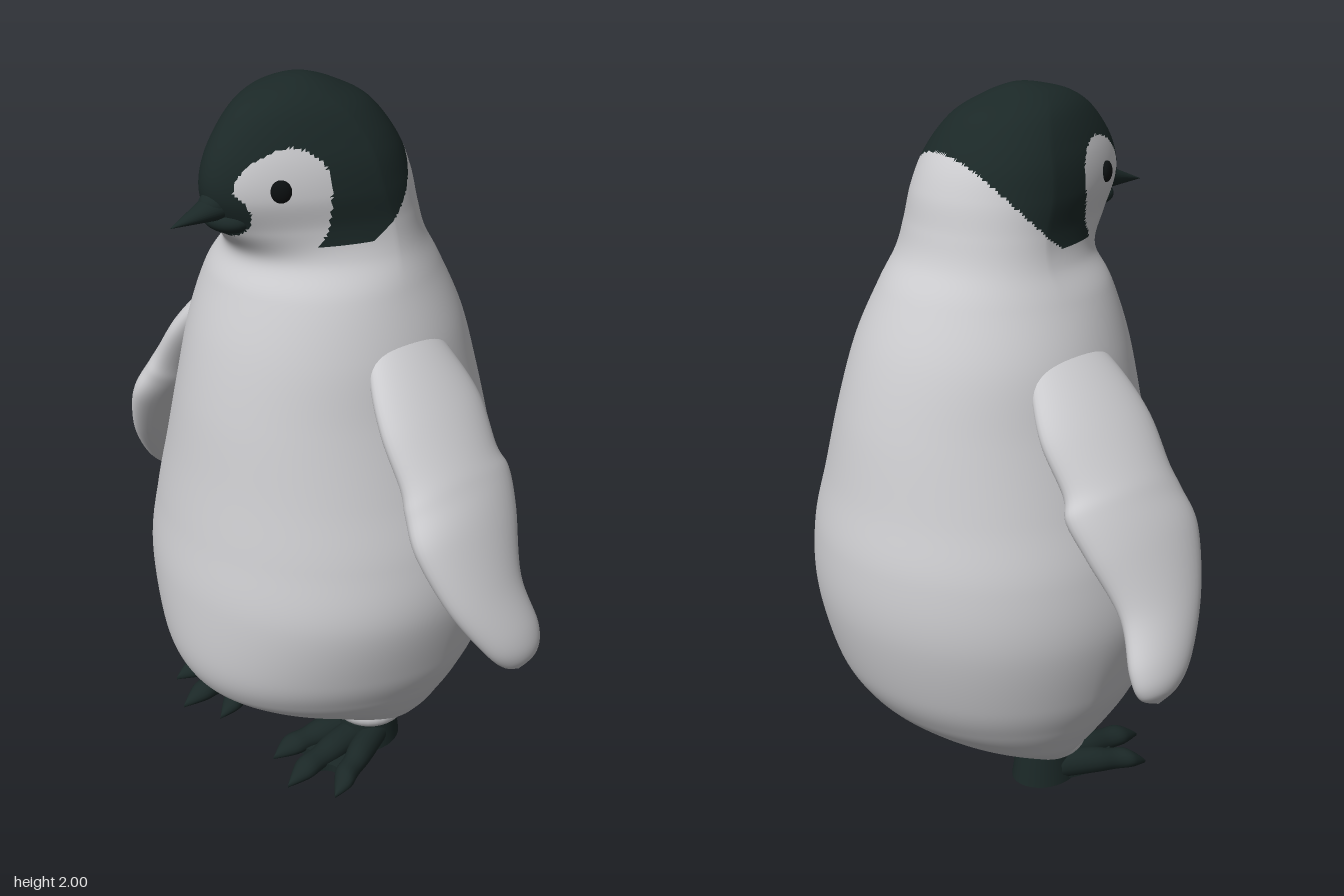
import * as THREE from 'three';

const plumage = new THREE.MeshStandardMaterial({ color: 0xcdcdd0 });
const dark = new THREE.MeshStandardMaterial({ color: 0x1b2827 });
const eyeBlack = new THREE.MeshStandardMaterial({ color: 0x0b0f10 });
plumage.name = 'pale down';
dark.name = 'dark slate';
eyeBlack.name = 'eye black';

// Smoothly interpolates every column of a table of cross-section rows
function sampleRows(rows, t) {
  const f = t * (rows.length - 1);
  const i = Math.min(Math.floor(f), rows.length - 2);
  const k = f - i;
  const at = (j) => rows[Math.max(0, Math.min(rows.length - 1, j))];
  return rows[0].map((_, c) => {
    const [a, b, d, e] = [at(i - 1)[c], at(i)[c], at(i + 1)[c], at(i + 2)[c]];
    return b + 0.5 * k * (d - a + k * (2 * a - 5 * b + 4 * d - e + k * (3 * (b - d) + e - a)));
  });
}

// Skins closed rings; point(row, angle) gives [x, y, z]
function loft(rows, point, around, along) {
  const pos = [], idx = [];
  for (let v = 0; v <= along; v++) {
    const row = sampleRows(rows, v / along);
    for (let u = 0; u < around; u++) pos.push(...point(row, (u / around) * Math.PI * 2));
  }
  for (let v = 0; v < along; v++) {
    for (let u = 0; u < around; u++) {
      const a = v * around + u, b = v * around + ((u + 1) % around);
      idx.push(a, b, b + around, a, b + around, a + around);
    }
  }
  const g = new THREE.BufferGeometry();
  g.setAttribute('position', new THREE.Float32BufferAttribute(pos, 3));
  g.setIndex(idx);
  g.computeVertexNormals();
  return g;
}

function add(parent, name, geometry, material) {
  const m = new THREE.Mesh(geometry, material);
  m.name = name;
  parent.add(m);
  return m;
}

function ellipsoid(parent, name, material, [x, y, z], [rx, ry, rz]) {
  const m = add(parent, name, new THREE.SphereGeometry(1, 32, 20), material);
  m.position.set(x, y, z);
  m.scale.set(rx, ry, rz);
  return m;
}

// Body and head: height, half width, front z, back z, narrowing toward the front
const bodyRows = [
  [0.1, 0, 0.07, 0.07, 0], [0.1, 0.24, 0.13, -0.05, 0], [0.12, 0.335, 0.19, -0.13, 0.05],
  [0.17, 0.385, 0.31, -0.25, 0.12], [0.22, 0.415, 0.405, -0.33, 0.14], [0.29, 0.45, 0.475, -0.4, 0.13],
  [0.4, 0.49, 0.51, -0.46, 0.08], [0.6, 0.525, 0.508, -0.508, 0], [0.78, 0.507, 0.482, -0.508, 0],
  [0.95, 0.46, 0.455, -0.475, 0], [1.15, 0.405, 0.425, -0.435, 0], [1.33, 0.365, 0.385, -0.38, 0],
  [1.48, 0.308, 0.335, -0.31, 0], [1.57, 0.268, 0.3, -0.255, 0.12], [1.65, 0.25, 0.355, -0.23, 0.28],
  [1.74, 0.24, 0.4, -0.21, 0.31], [1.83, 0.215, 0.385, -0.17, 0.3], [1.92, 0.16, 0.32, -0.1, 0.22],
  [1.97, 0.1, 0.245, -0.01, 0.1], [1.995, 0.04, 0.15, 0.06, 0], [2, 0, 0.1, 0.1, 0],
];

function bodyPoint([y, w, front, back, taper], a) {
  const mid = (front + back) / 2 - taper * 0.22 * Math.min(1, w / 0.2);
  const c = Math.cos(a);
  const x = w * Math.sin(a) * (1 - taper * Math.max(0, c));
  return [x, y, mid + c * (c > 0 ? front - mid : mid - back)];
}

// True where the head is dark: a hood with oval pale cheeks and a dark muzzle
function isDark(x, y, z) {
  if (y < 1.5) return false;
  const t = Math.max(0, 0.06 - z);
  const hem = 1.61 + 0.55 * t + 2.2 * t * t;
  const ax = Math.abs(x);
  if ((x / 0.092) ** 2 + ((y - 1.71) / 0.075) ** 2 < 1 && z > 0.2) return true;
  const high = Math.abs((y - 1.765) / 0.104);
  const cheek = Math.abs((z - 0.28) / 0.118) ** 2.4 + high ** 2.4 < 1
    && (ax > 0.15 || ((ax - 0.15) / 0.083) ** 2 + high ** 2 < 1);
  const chin = y < 1.765 && z > 0.165 + 6 * Math.max(0, 1.68 - y) ** 2;
  return y > hem && !cheek && !chin;
}

function addBody(model) {
  const whole = loft(bodyRows, bodyPoint, 192, (bodyRows.length - 1) * 12);
  const p = whole.attributes.position, index = whole.index.array;
  const parts = [[], []];
  for (let i = 0; i < index.length; i += 3) {
    const tri = [index[i], index[i + 1], index[i + 2]];
    const mean = (get) => tri.reduce((s, v) => s + get(v), 0) / 3;
    const hood = isDark(mean((v) => p.getX(v)), mean((v) => p.getY(v)), mean((v) => p.getZ(v)));
    parts[hood ? 1 : 0].push(...tri);
  }
  parts.forEach((list, i) => {
    const g = new THREE.BufferGeometry();
    g.setAttribute('position', p);
    g.setAttribute('normal', whole.attributes.normal);
    g.setIndex(list);
    add(model, i ? 'hood' : 'body', g, i ? dark : plumage);
  });
}

// Flipper: centre x, centre y, half thickness, front z, back z
const flipperRows = [
  [0.25, 1.43, 0.02, 0.08, -0.06], [0.345, 1.295, 0.052, 0.165, -0.115], [0.43, 1.18, 0.065, 0.205, -0.145],
  [0.51, 1.06, 0.073, 0.21, -0.13], [0.545, 1, 0.076, 0.225, -0.145], [0.6, 0.91, 0.07, 0.24, -0.12],
  [0.675, 0.76, 0.058, 0.195, -0.067], [0.735, 0.63, 0.05, 0.12, -0.08],
  [0.755, 0.56, 0.036, 0.06, -0.06], [0.755, 0.526, 0, 0, 0],
];
const flipperPoint = ([x, y, t, f, b], a) => [
  x + 0.85 * t * Math.cos(a), y + 0.53 * t * Math.cos(a), (f + b) / 2 + ((f - b) / 2) * Math.sin(a),
];

// Toe: fraction of length, half width, height
const toeRows = [
  [0, 0.042, 0.085], [0.4, 0.042, 0.08], [0.62, 0.034, 0.066], [0.78, 0.036, 0.06],
  [0.89, 0.022, 0.04], [1, 0, 0.01],
];

function addFoot(side) {
  const foot = new THREE.Group();
  foot.name = 'foot';
  side.add(foot);
  const heel = add(foot, 'heel', new THREE.CylinderGeometry(0.075, 0.085, 0.09, 32), dark);
  heel.scale.z = 1.22;
  heel.position.set(0.225, 0.045, 0.038);
  for (const [tx, tz] of [[0.125, 0.33], [0.245, 0.38], [0.37, 0.31]]) {
    const startX = 0.225 + (tx - 0.235) * 0.3, startZ = 0.04;
    add(foot, 'toe', loft(toeRows, ([s, w, h], a) => [
      startX + (tx - startX) * s + w * Math.cos(a), (h / 2) * (1 + Math.sin(a)), startZ + (tz - startZ) * s,
    ], 16, 25), dark);
  }
  // Scalloped web between the toes
  const web = new THREE.Shape();
  web.moveTo(0.16, 0);
  web.lineTo(0.29, 0);
  web.lineTo(0.345, 0.26);
  web.quadraticCurveTo(0.275, 0.2, 0.245, 0.3);
  web.quadraticCurveTo(0.2, 0.2, 0.138, 0.28);
  web.closePath();
  const sheet = new THREE.ExtrudeGeometry(web, { depth: 0.025, bevelEnabled: false });
  add(foot, 'web', sheet.rotateX(Math.PI / 2).translate(0, 0.028, 0), dark);
}

export function createModel() {
  const model = new THREE.Group();
  model.name = 'penguin chick';
  addBody(model);

  // Beak: slightly drooping cone over a shallow lower jaw
  const beak = add(model, 'beak', new THREE.ConeGeometry(0.055, 0.17, 28), dark);
  beak.scale.set(0.95, 1, 0.75);
  beak.rotation.x = Math.PI / 2 + 0.16;
  beak.position.set(0, 1.706, 0.433);
  ellipsoid(model, 'beakBridge', dark, [0, 1.722, 0.368], [0.042, 0.036, 0.05]);
  ellipsoid(model, 'lowerJaw', dark, [0, 1.678, 0.335], [0.075, 0.036, 0.058]);

  for (const s of [1, -1]) {
    const side = new THREE.Group();
    side.name = s > 0 ? 'leftSide' : 'rightSide';
    side.scale.x = s;
    model.add(side);
    add(side, 'flipper', loft(flipperRows, flipperPoint, 40, 72), plumage);
    ellipsoid(side, 'thigh', plumage, [0.228, 0.14, 0.04], [0.118, 0.065, 0.115]);
    const eye = ellipsoid(side, 'eye', eyeBlack, [0.138, 1.765, 0.278], [0.027, 0.029, 0.016]);
    eye.rotation.y = 0.85;
    addFoot(side);
  }
  return model;
}
